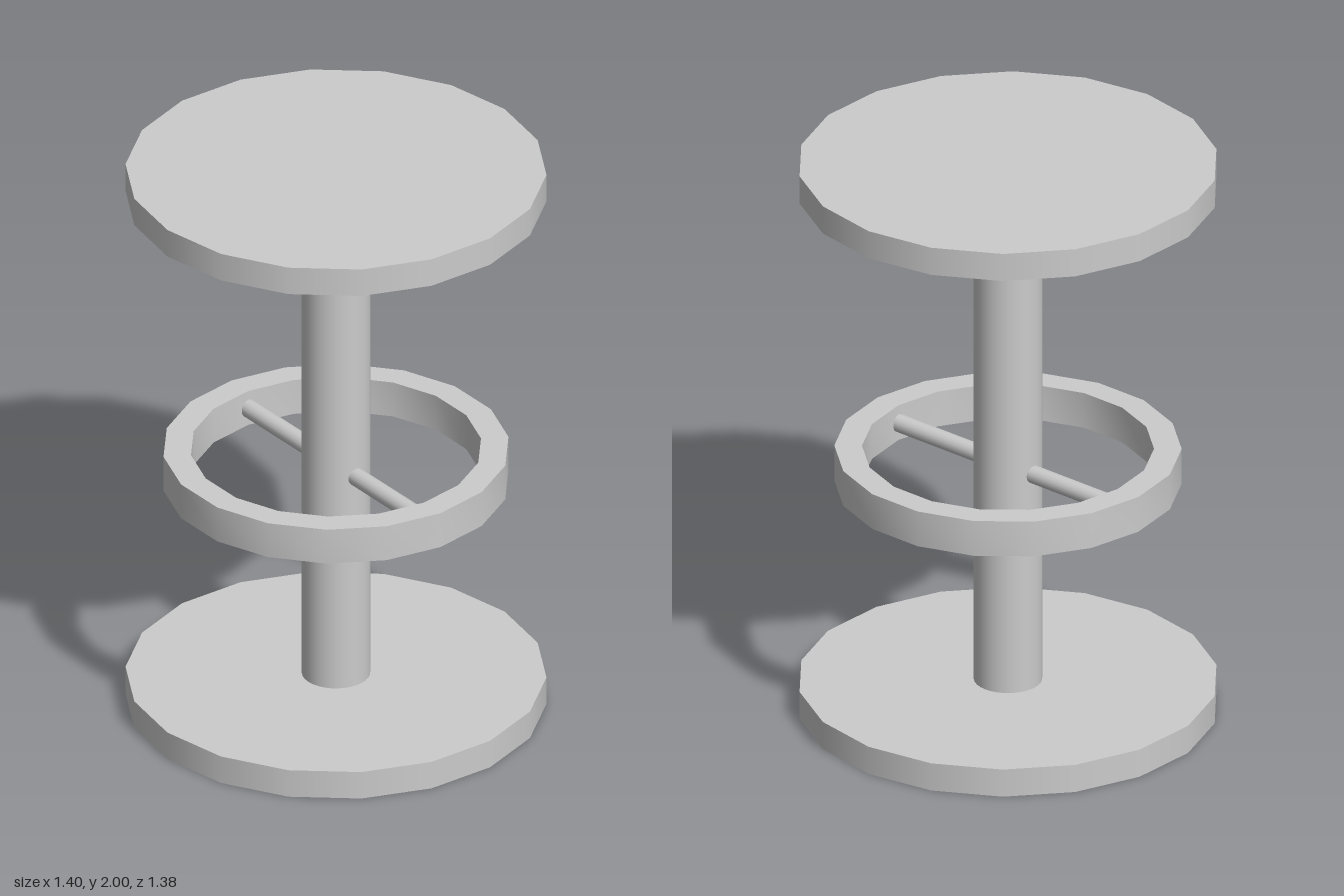
import * as THREE from 'three';
import { toCreasedNormals } from 'three/addons/utils/BufferGeometryUtils.js';

const SIDES = 18;
const RING_Y = 0.8875;

export function createModel() {
  const model = new THREE.Group();
  model.name = 'spool';
  const material = new THREE.MeshStandardMaterial({ color: 0xcccccc });

  const add = (name, geometry, x = 0, y = 0, z = 0) => {
    const mesh = new THREE.Mesh(geometry, material);
    mesh.name = name;
    mesh.position.set(x, y, z);
    model.add(mesh);
    return mesh;
  };

  // Base and top discs, with a corner pointing along x
  const disc = new THREE.CylinderGeometry(0.7, 0.7, 0.1, SIDES).rotateY(Math.PI / 2);
  add('baseDisc', disc, 0, 0.05);
  add('topDisc', disc, 0, 1.95);

  // Central column
  add('column', new THREE.CylinderGeometry(0.114, 0.114, 1.8, 32), 0, 1);

  // Ring around the column: a rectangular section turned about y
  const inner = 0.485, outer = 0.577, half = 0.064;
  const section = [
    [inner, -half], [outer, -half], [outer, half], [inner, half], [inner, -half],
  ].map(([r, y]) => new THREE.Vector2(r, y));
  const ring = toCreasedNormals(new THREE.LatheGeometry(section, SIDES), 0.7);
  add('ring', ring, 0, RING_Y);

  // Spokes joining the ring to the column, front and back
  const from = 0.09, to = 0.51;
  const spoke = new THREE.CylinderGeometry(0.031, 0.031, to - from, 16).rotateX(Math.PI / 2);
  for (const side of [1, -1]) {
    add(side > 0 ? 'frontSpoke' : 'backSpoke', spoke, 0, RING_Y, (side * (from + to)) / 2);
  }

  return model;
}
